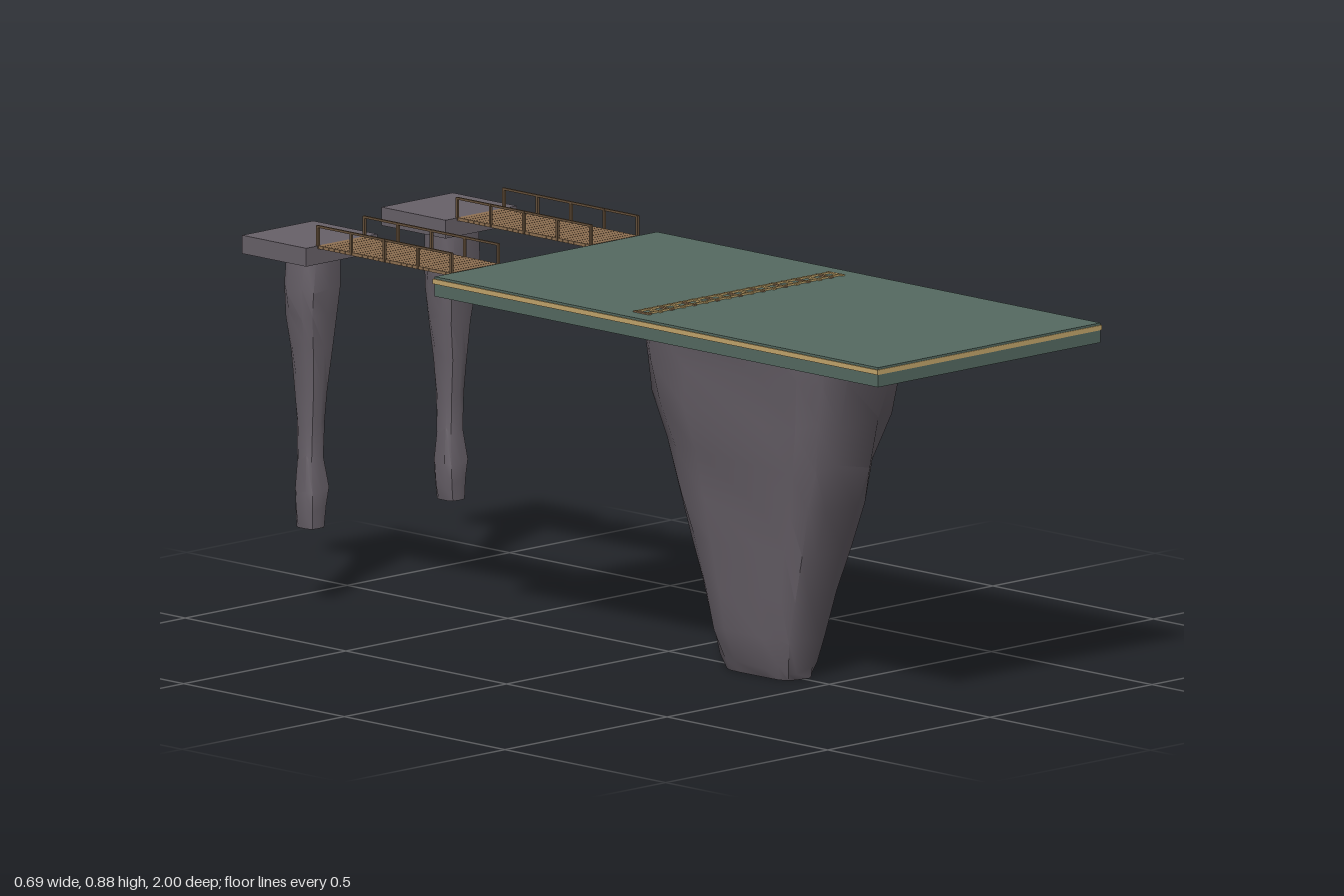
import * as THREE from 'three';
import { toCreasedNormals } from 'three/addons/utils/BufferGeometryUtils.js';

const material = (name, color) => new THREE.MeshStandardMaterial({ name, color });

// Repeatable value between -1 and 1 for the rock surface
function jitter(i, j) {
  const s = Math.sin(i * 12.99 + j * 78.23 + 4.1) * 43758.55;
  return (s - Math.floor(s)) * 2 - 1;
}

// Closed rock from rings [y, xMin, xMax, zMin, zMax], listed top to bottom
function rockGeometry(rings, sides, power, rough) {
  const pos = [], index = [];
  const round = v => Math.sign(v) * Math.pow(Math.abs(v), power);
  rings.forEach(([y, x0, x1, z0, z1], i) => {
    for (let j = 0; j < sides; j++) {
      const a = ((j + 0.5) / sides) * Math.PI * 2;
      const k = 1 - rough * (0.5 + 0.5 * jitter(i * 0.12, j));
      const dy = i > 0 && i < rings.length - 1 ? jitter(i, j) * 0.012 : 0;
      pos.push((x0 + x1) / 2 + round(Math.cos(a)) * k * (x1 - x0) / 2, y + dy,
        (z0 + z1) / 2 + round(Math.sin(a)) * k * (z1 - z0) / 2);
    }
  });
  for (let i = 0; i < rings.length - 1; i++) {
    for (let j = 0; j < sides; j++) {
      const a = i * sides + j, b = i * sides + (j + 1) % sides;
      index.push(a, b, a + sides, b, b + sides, a + sides);
    }
  }
  const last = (rings.length - 1) * sides, centre = pos.length / 3;
  for (const r of [rings[0], rings[rings.length - 1]]) {
    pos.push((r[1] + r[2]) / 2, r[0], (r[3] + r[4]) / 2);
  }
  for (let j = 0; j < sides; j++) {
    const n = (j + 1) % sides;
    index.push(centre, n, j, centre + 1, last + j, last + n);
  }
  const g = new THREE.BufferGeometry();
  g.setAttribute('position', new THREE.Float32BufferAttribute(pos, 3));
  g.setIndex(index);
  return toCreasedNormals(g, 0.7);
}

export function createModel() {
  const model = new THREE.Group();
  model.name = 'cliffPlatform';
  const green = material('slate green', 0x556a61);
  const gold = material('pale gold', 0xc4a66c);
  const stone = material('grey stone', 0x686169);
  const plank = material('plank brown', 0x8e7052);
  const timber = material('dark timber', 0x65503a);

  const add = (parent, name, geometry, mat, x = 0, y = 0, z = 0) => {
    const m = new THREE.Mesh(geometry, mat);
    m.name = name;
    m.position.set(x, y, z);
    parent.add(m);
    return m;
  };
  const box = (parent, name, mat, w, h, d, x, y, z) =>
    add(parent, name, new THREE.BoxGeometry(w, h, d), mat, x, y, z);

  // Layered platform with a gold trim band
  const deck = new THREE.Group();
  deck.name = 'platform';
  model.add(deck);
  box(deck, 'platformBase', green, 0.686, 0.028, 1.38, 0, 0.807, 0.308);
  box(deck, 'platformTrim', gold, 0.692, 0.011, 1.385, 0, 0.8265, 0.3075);
  box(deck, 'platformTop', green, 0.686, 0.005, 1.38, 0, 0.8345, 0.308);

  // Ladder-like track across the platform
  const track = new THREE.Group();
  track.name = 'crossTrack';
  model.add(track);
  for (let i = 0; i < 18; i++) {
    box(track, 'trackTie', i % 2 ? gold : plank, 0.009, 0.003, 0.05, -0.297 + i * 0.035, 0.8383, 0.218);
  }
  for (const z of [0.202, 0.234]) box(track, 'trackRail', gold, 0.6, 0.004, 0.006, 0, 0.839, z);

  // Great rock under the platform
  const mainRings = [
    [0.796, -0.170, 0.170, -0.025, 0.655],
    [0.70, -0.158, 0.166, -0.005, 0.632],
    [0.60, -0.145, 0.158, 0.015, 0.608],
    [0.50, -0.130, 0.143, 0.045, 0.580],
    [0.40, -0.115, 0.119, 0.078, 0.548],
    [0.30, -0.104, 0.103, 0.112, 0.512],
    [0.20, -0.092, 0.094, 0.143, 0.482],
    [0.10, -0.081, 0.081, 0.170, 0.452],
    [0.03, -0.064, 0.062, 0.193, 0.434],
    [0.005, -0.052, 0.050, 0.205, 0.425],
  ];
  add(model, 'mainRock', rockGeometry(mainRings, 16, 0.55, 0.08), stone);

  // Slender pillar, given for the left side and mirrored for the right
  const pillarRings = [
    [0.797, 0.158, 0.268, -0.945, -0.834],
    [0.72, 0.156, 0.275, -0.945, -0.838],
    [0.66, 0.160, 0.270, -0.942, -0.846],
    [0.59, 0.168, 0.257, -0.936, -0.854],
    [0.50, 0.183, 0.246, -0.930, -0.861],
    [0.42, 0.187, 0.242, -0.926, -0.868],
    [0.34, 0.189, 0.241, -0.924, -0.872],
    [0.27, 0.178, 0.250, -0.928, -0.862],
    [0.22, 0.184, 0.246, -0.928, -0.865],
    [0.183, 0.191, 0.242, -0.926, -0.868],
  ];

  for (const side of [1, -1]) {
    const label = side > 0 ? 'left' : 'right';
    const rings = pillarRings.map(([y, a, b, z0, z1]) =>
      side > 0 ? [y, a, b, z0, z1] : [y, -b, -a, z0, z1]);
    add(model, label + 'Pillar', rockGeometry(rings, 10, 0.65, 0.06), stone);
    box(model, label + 'PillarCap', stone, 0.22, 0.041, 0.2, side * 0.215, 0.8155, -0.9);

    // Plank bridge with posts and handrails
    const bridge = new THREE.Group();
    bridge.name = label + 'Bridge';
    bridge.position.x = side * 0.215;
    model.add(bridge);
    const count = 24, step = 0.416 / count;
    for (let i = 0; i < count; i++) {
      box(bridge, 'plank', plank, 0.146, 0.007, step * 0.93, 0, 0.833, -0.386 - (i + 0.5) * step);
    }
    for (const x of [-0.072, 0.072]) {
      for (let i = 0; i < 5; i++) {
        box(bridge, 'post', timber, 0.006, 0.05, 0.006, x, 0.856, -0.386 - i * 0.104);
      }
      box(bridge, 'handrail', timber, 0.005, 0.005, 0.42, x, 0.8795, -0.594);
    }
  }
  return model;
}
